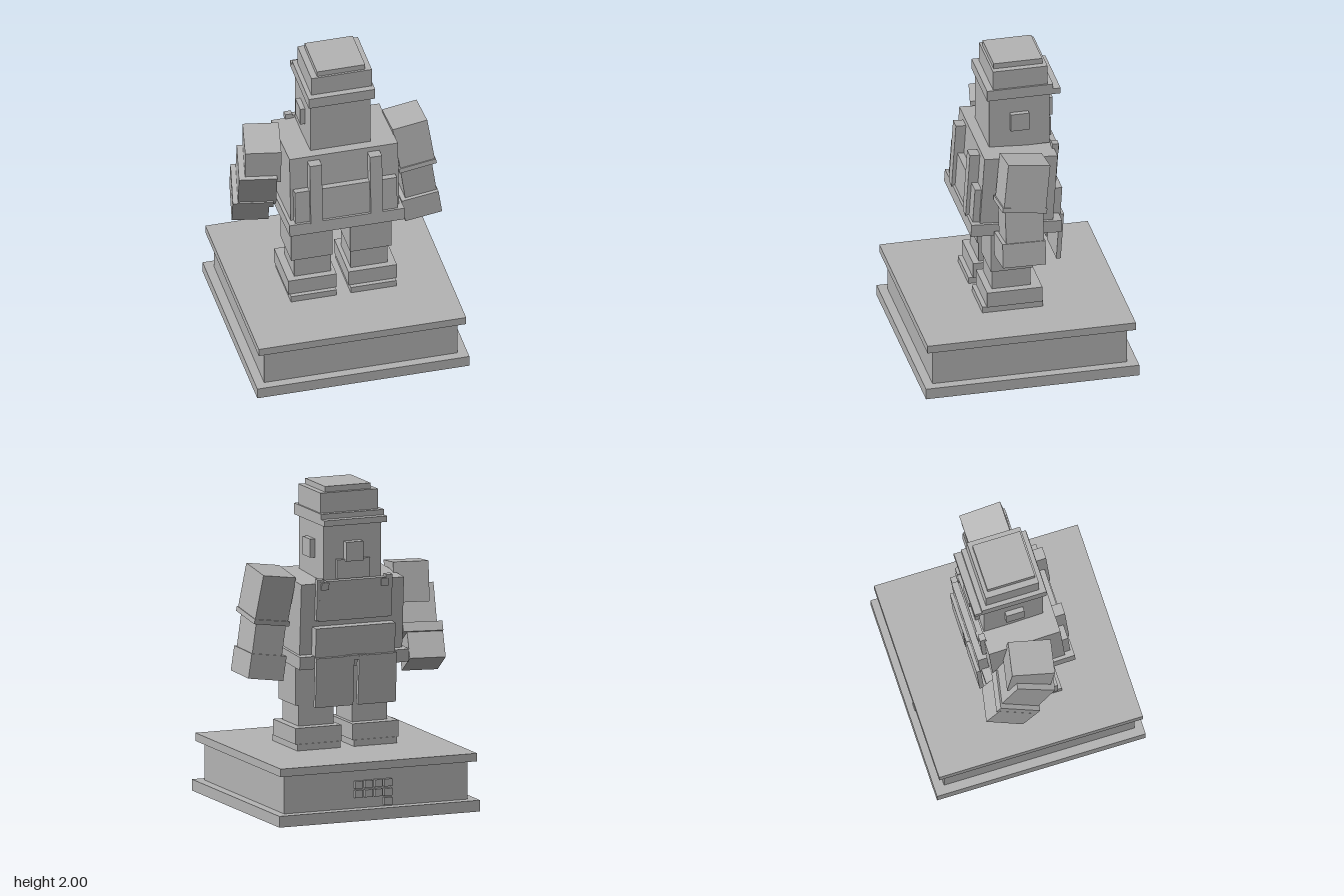
import * as THREE from 'three';

export function createModel() {
  const model = new THREE.Group();
  model.name = 'figureOnPlinth';
  const grey = new THREE.MeshStandardMaterial({ color: 0xb3b3b3 });
  grey.name = 'grey';

  // Box given by its size, centre and rotation
  function block(name, size, centre, rotation = [0, 0, 0], order = 'XYZ') {
    const mesh = new THREE.Mesh(new THREE.BoxGeometry(...size), grey);
    mesh.name = name;
    mesh.position.set(...centre);
    mesh.rotation.set(...rotation, order);
    model.add(mesh);
  }
  // Upright box given by its ranges along each axis
  function span(name, [x0, x1], [y0, y1], [z0, z1]) {
    block(name, [x1 - x0, y1 - y0, z1 - z0], [(x0 + x1) / 2, (y0 + y1) / 2, (z0 + z1) / 2]);
  }

  // Plinth
  span('plinthFoot', [-0.67, 0.67], [0, 0.07], [-0.67, 0.67]);
  span('plinthCore', [-0.613, 0.61], [0.07, 0.31], [-0.607, 0.615]);
  span('plinthTop', [-0.657, 0.653], [0.31, 0.36], [-0.652, 0.656]);

  // Raised tiles on the plinth
  for (let row = 0; row < 3; row++) {
    for (let col = 0; col < 4; col++) {
      if (row === 2 && col !== 3) continue;
      const x = 0.12 - col * 0.065, y = 0.218 - row * 0.058;
      span('plinthTile', [x - 0.026, x + 0.026], [y - 0.023, y + 0.023], [-0.63, -0.6]);
    }
  }

  // Legs, mirrored about the body's centre line
  const mid = -0.012;
  for (const side of [-1, 1]) {
    const x = (inner, outer) => side > 0 ? [mid + inner, mid + outer] : [mid - outer, mid - inner];
    span('sole', x(0.045, 0.333), [0.36, 0.4], [-0.145, 0.235]);
    span('shoe', x(0.037, 0.343), [0.4, 0.5], [-0.14, 0.207]);
    span('shin', x(0.062, 0.295), [0.5, 0.63], [-0.077, 0.167]);
    span('thigh', x(0.055, 0.317), [0.63, 0.94], [-0.082, 0.178]);
  }

  // Torso and clothing, leaning slightly
  const lean = [-0.065, 0, 0];
  block('torso', [0.685, 0.47, 0.46], [-0.009, 1.19, 0.01], lean);
  block('waistband', [0.726, 0.08, 0.57], [-0.01, 0.942, 0.028], lean);
  block('backPanel', [0.645, 0.24, 0.045], [-0.01, 1.1, 0.265], lean);
  block('upperBib', [0.46, 0.25, 0.035], [-0.01, 1.3, -0.238], lean);
  block('lowerBib', [0.53, 0.21, 0.06], [-0.01, 1.035, -0.245], lean);
  block('bibBuckle', [0.13, 0.03, 0.025], [-0.01, 0.945, -0.278], lean);
  for (const side of [-1, 1]) {
    block('backStrap', [0.076, 0.42, 0.07], [mid + side * 0.19, 1.2, 0.268], lean);
    block('frontStrap', [0.045, 0.26, 0.04], [mid + side * 0.228, 1.31, -0.236], lean);
    block('strapButton', [0.05, 0.045, 0.03], [mid + side * 0.2, 1.395, -0.255], lean);
    block('apronTail', [0.252, 0.31, 0.028], [mid + side * 0.142, 0.8, -0.268], lean);
  }

  // Head
  span('head', [-0.203, 0.178], [1.42, 1.8], [-0.22, 0.16]);
  span('nose', [-0.067, 0.047], [1.54, 1.66], [-0.27, -0.21]);
  span('chin', [-0.12, 0.1], [1.43, 1.55], [-0.248, -0.21]);
  span('rightEar', [-0.234, -0.2], [1.545, 1.66], [-0.085, 0.03]);
  span('leftEar', [0.175, 0.21], [1.545, 1.66], [-0.085, 0.03]);

  // Cap
  span('capBand', [-0.218, 0.202], [1.77, 1.84], [-0.237, 0.178]);
  span('capPeak', [-0.218, 0.202], [1.77, 1.807], [-0.284, -0.2]);
  span('capCrown', [-0.191, 0.191], [1.84, 1.965], [-0.204, 0.138]);
  span('capTop', [-0.152, 0.152], [1.965, 2], [-0.18, 0.125]);

  // Left arm, hanging
  block('leftUpperArm', [0.222, 0.29, 0.265], [0.455, 1.327, 0.012], [-0.13, 0, 0.14]);
  block('leftSleeveCuff', [0.238, 0.03, 0.28], [0.473, 1.18, 0.032], [-0.13, 0, 0.14]);
  block('leftForearm', [0.2, 0.26, 0.238], [0.482, 1.08, 0.03], [0, 0, 0.14]);
  block('leftHand', [0.235, 0.155, 0.27], [0.498, 0.888, 0.04], [-0.02, 0, 0.14]);

  // Right arm, bent towards the bib side
  const yaw = -0.19;
  block('rightUpperArm', [0.222, 0.25, 0.265], [-0.465, 1.34, -0.015], [0.13, yaw, 0], 'YXZ');
  block('rightForearm', [0.235, 0.3, 0.25], [-0.49, 1.155, -0.05], [0.4, yaw, 0], 'YXZ');
  block('rightCuff', [0.25, 0.06, 0.272], [-0.503, 1.03, -0.11], [0.47, yaw, 0], 'YXZ');
  block('rightHand', [0.225, 0.18, 0.255], [-0.508, 0.93, -0.155], [0.48, yaw, 0], 'YXZ');

  return model;
}
